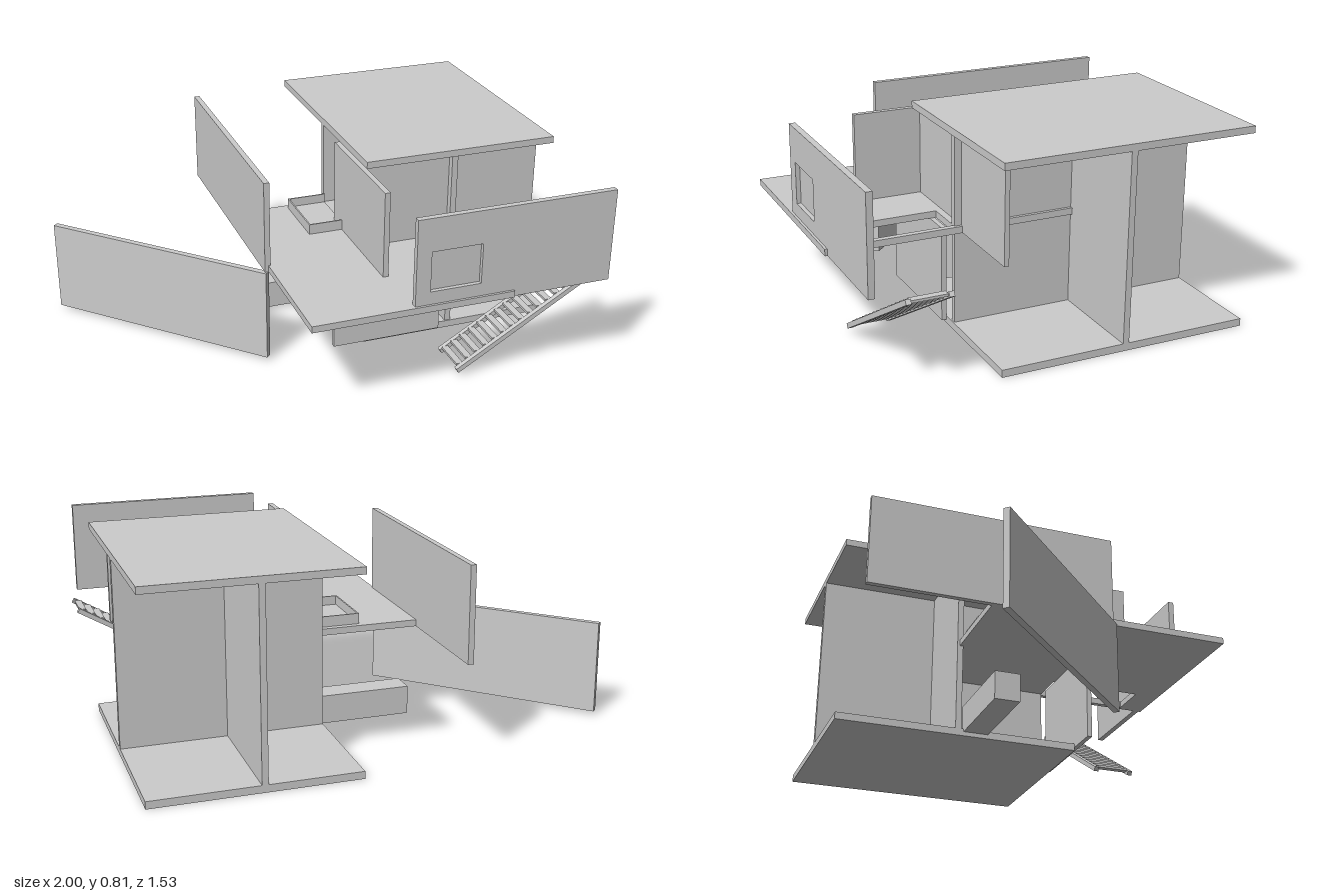
import * as THREE from 'three';

export function createModel() {
  const model = new THREE.Group();
  model.name = 'slabHouse';
  const plaster = new THREE.MeshStandardMaterial({ color: 0xcccccc });
  plaster.name = 'plaster';

  const add = (name, geometry, parent = model) => {
    const mesh = new THREE.Mesh(geometry, plaster);
    mesh.name = name;
    parent.add(mesh);
    return mesh;
  };
  // axis-aligned box from its limits
  const box = (name, x0, x1, y0, y1, z0, z1, parent) => {
    const mesh = add(name, new THREE.BoxGeometry(x1 - x0, y1 - y0, z1 - z0), parent);
    mesh.position.set((x0 + x1) / 2, (y0 + y1) / 2, (z0 + z1) / 2);
    return mesh;
  };
  // extruded rectangle with a rectangular hole
  const rect = (T, x0, x1, y0, y1) => new T([
    new THREE.Vector2(x0, y0), new THREE.Vector2(x1, y0),
    new THREE.Vector2(x1, y1), new THREE.Vector2(x0, y1),
  ]);
  const holed = (outer, hole, depth) => {
    const shape = rect(THREE.Shape, ...outer);
    shape.holes.push(rect(THREE.Path, ...hole));
    return new THREE.ExtrudeGeometry(shape, { depth, bevelEnabled: false });
  };

  // ground and roof slabs
  box('groundSlab', 0.14, 0.96, 0, 0.03, -0.77, 0.255);
  box('roofSlab', 0.14, 0.96, 0.782, 0.81, -0.77, 0.255);

  // middle deck with the stair opening (shape y becomes -z)
  const deck = add('deck', holed([-0.27, 0.548, -0.765, 0.26], [0.36, 0.525, -0.655, -0.25], 0.027));
  deck.rotation.x = -Math.PI / 2;
  deck.position.y = 0.4;

  // crossing core walls
  box('coreCrossWall', 0.14, 0.96, 0.03, 0.782, -0.27, -0.245);
  box('coreLongWallBack', 0.51, 0.535, 0.03, 0.782, -0.77, -0.27);
  box('coreLongWallFront', 0.51, 0.535, 0.03, 0.782, -0.245, 0.25);

  // free-standing upper walls
  box('upperFrontWall', 0.14, 0.9, 0.4, 0.782, 0.203, 0.222);
  box('upperInnerWall', 0.118, 0.14, 0.4, 0.782, -0.05, 0.495);
  box('upperSideWall', -0.285, -0.262, 0.4, 0.782, -0.77, 0.255);

  // front panel with a recessed window
  const panel = add('frontPanel', holed([0.14, 0.96, 0.4, 0.782], [0.2, 0.407, 0.48, 0.645], 0.025));
  panel.position.z = 0.73;
  box('windowPane', 0.2, 0.407, 0.48, 0.645, 0.73, 0.738);

  // lower walls
  box('lowerFrontWall', 0, 0.47, 0.015, 0.4, 0.255, 0.275);
  const a = new THREE.Vector2(-0.99, -0.46), b = new THREE.Vector2(-0.277, 0.26);
  const d = b.clone().sub(a);
  const diagonal = add('diagonalWall', new THREE.BoxGeometry(d.length(), 0.383, 0.025));
  diagonal.position.set((a.x + b.x) / 2, 0.2085, (a.y + b.y) / 2);
  diagonal.rotation.y = -Math.atan2(d.y, d.x);

  // low block beside the core
  box('lowBlock', -0.24, 0.16, 0.018, 0.135, -0.235, -0.13);

  // shallow open tray on the deck
  const tray = new THREE.Group();
  tray.name = 'tray';
  model.add(tray);
  box('trayFloor', -0.02, 0.14, 0.427, 0.433, -0.23, 0.04, tray);
  box('trayEnd', -0.025, -0.019, 0.427, 0.47, -0.235, 0.042, tray);
  box('trayBack', -0.019, 0.14, 0.427, 0.47, -0.235, -0.229, tray);
  box('trayFront', -0.019, 0.118, 0.427, 0.47, 0.036, 0.042, tray);

  // open stair: two stringers and a run of treads
  const stair = new THREE.Group();
  stair.name = 'stair';
  model.add(stair);
  const x0 = 0.39, y0 = 0.027, run = 0.604, rise = 0.356;
  for (const z of [0.465, 0.625]) {
    const s = add('stringer', new THREE.BoxGeometry(Math.hypot(run, rise), 0.02, 0.02), stair);
    s.position.set(x0 + run / 2, y0 + rise / 2, z);
    s.rotation.z = Math.atan2(rise, run);
  }
  const steps = 16;
  for (let i = 0; i < steps; i++) {
    const t = (i + 0.5) / steps;
    const x = x0 + run * t, y = y0 + rise * t + 0.006;
    box('tread', x - 0.015, x + 0.013, y - 0.005, y + 0.005, 0.475, 0.615, stair);
  }
  return model;
}
